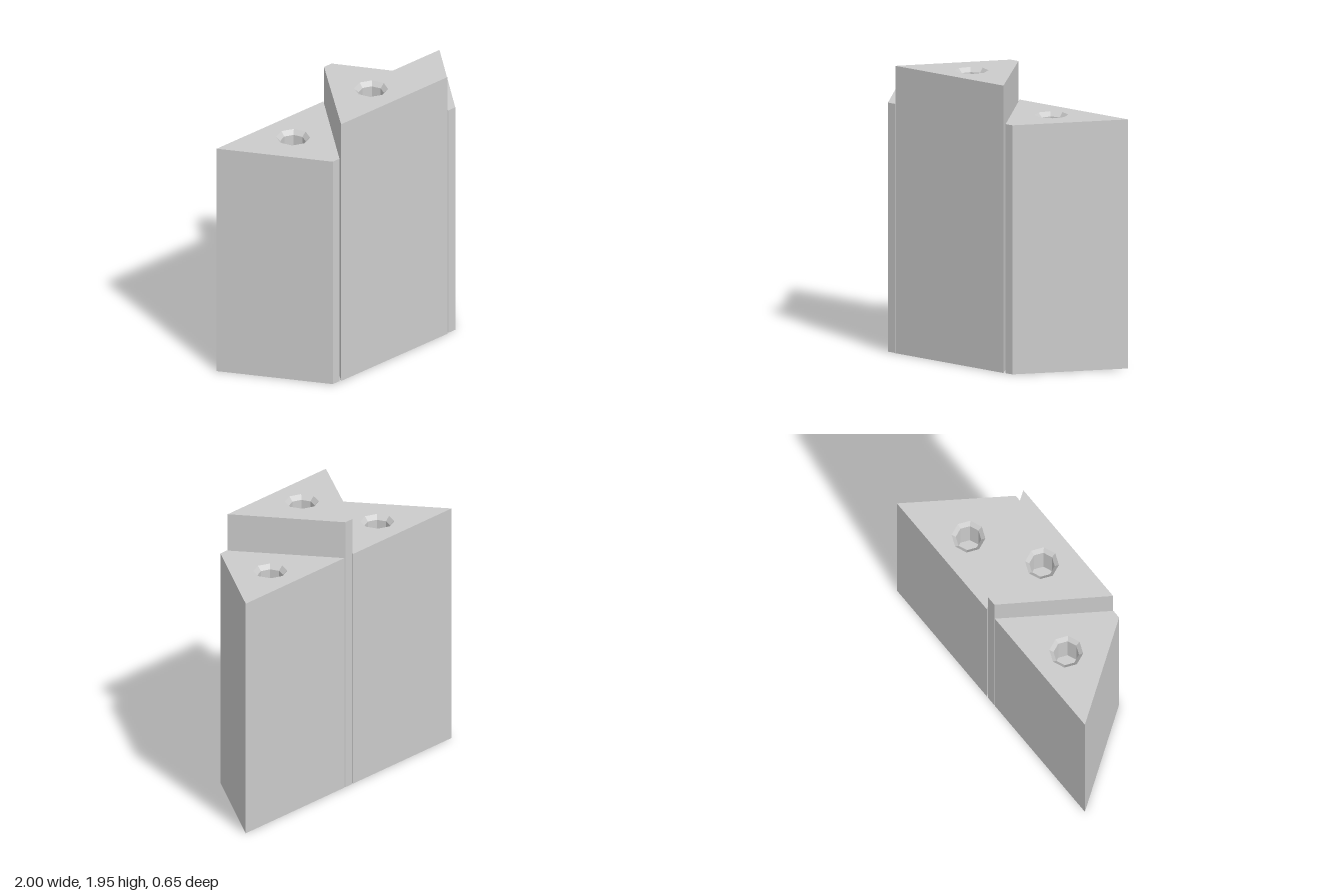
import * as THREE from 'three';

const material = new THREE.MeshStandardMaterial({ color: 0xcccccc, flatShading: true, side: THREE.DoubleSide });
const SIDES = 8, RIM = 0.113, BORE = 0.085, CHAMFER = 0.03, DEPTH = 0.3;

function addMesh(group, geometry, name) {
  const mesh = new THREE.Mesh(geometry, material);
  mesh.name = name;
  group.add(mesh);
  return mesh;
}

// Upright walls along a closed outline of [x, z] corners, open below
function wallGeometry(outline, height) {
  const pos = [];
  outline.forEach(([ax, az], i) => {
    const [bx, bz] = outline[(i + 1) % outline.length];
    pos.push(ax, 0, az, bx, 0, bz, bx, height, bz);
    pos.push(ax, 0, az, bx, height, bz, ax, height, az);
  });
  const geometry = new THREE.BufferGeometry();
  geometry.setAttribute('position', new THREE.Float32BufferAttribute(pos, 3));
  geometry.computeVertexNormals();
  return geometry;
}

// Flat top with an eight-sided opening
function topGeometry(outline, [hx, hz]) {
  const shape = new THREE.Shape(outline.map(([x, z]) => new THREE.Vector2(x, -z)));
  const rim = [];
  for (let i = 0; i < SIDES; i++) {
    const a = (-i / SIDES) * Math.PI * 2;
    rim.push(new THREE.Vector2(hx + RIM * Math.cos(a), -hz + RIM * Math.sin(a)));
  }
  shape.holes.push(new THREE.Path(rim));
  return new THREE.ShapeGeometry(shape).rotateX(-Math.PI / 2);
}

// One hollow wedge-shaped block with a chamfered socket in its top
function makeBlock(name, outline, height, hole) {
  const block = new THREE.Group();
  block.name = name;
  addMesh(block, wallGeometry(outline, height), 'walls');
  addMesh(block, topGeometry(outline, hole), 'topFace').position.y = height;
  const profile = [[0, -DEPTH], [BORE, -DEPTH], [BORE, -CHAMFER], [RIM, 0]]
    .reverse().map(([r, y]) => new THREE.Vector2(r, y));
  addMesh(block, new THREE.LatheGeometry(profile, SIDES), 'socket').position.set(hole[0], height, hole[1]);
  return block;
}

export function createModel() {
  const model = new THREE.Group();
  model.name = 'threeBlocks';

  // Tall middle block, broad side to the front
  const middle = [[-0.48, 0.325], [0.475, 0.325], [0.032, -0.33], [-0.037, -0.33]];
  model.add(makeBlock('middleBlock', middle, 1.95, [-0.005, 0.1]));

  // Lower side blocks, broad side to the back
  const side = [[-0.55, 0.32], [-0.49, 0.32], [-0.042, -0.33], [-1, -0.33]];
  const mirrored = side.map(([x, z]) => [-x, z]).reverse();
  model.add(makeBlock('rightBlock', side, 1.69, [-0.52, -0.105]));
  model.add(makeBlock('leftBlock', mirrored, 1.69, [0.52, -0.105]));

  return model;
}
